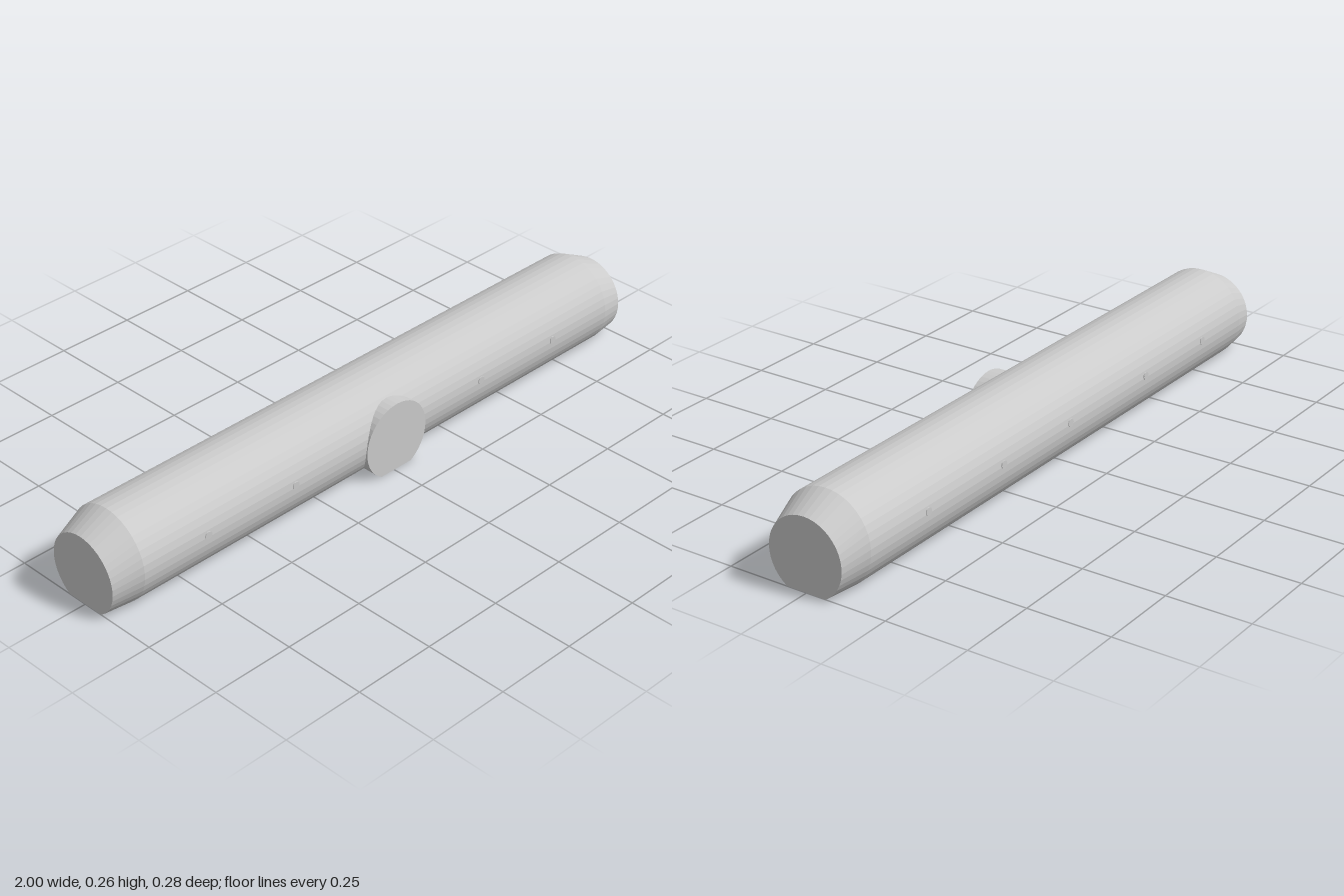
import * as THREE from 'three';

const material = new THREE.MeshStandardMaterial({ color: 0xcccccc, flatShading: true });
const SEGMENTS = 34;

// Circle with its bottom cut off flat at y = 0, as [across, up] points running anticlockwise
function cutCircle(radius, centreY) {
  const start = -Math.asin(centreY / radius);
  const sweep = Math.PI - 2 * start;
  return Array.from({ length: SEGMENTS + 1 }, (_, i) => {
    const a = start + (sweep * i) / SEGMENTS;
    return [radius * Math.cos(a), Math.max(0, centreY + radius * Math.sin(a))];
  });
}

// Skin over cut-circle sections placed along x, closed at both ends
function loft(sections) {
  const rings = sections.map(([x, r, cy]) => cutCircle(r, cy).map(([z, y]) => [x, y, z]));
  const n = SEGMENTS + 1;
  const positions = [];
  const tri = (a, b, c) => positions.push(...a, ...b, ...c);
  for (let s = 0; s < rings.length - 1; s++) {
    const [p, q] = [rings[s], rings[s + 1]];
    for (let i = 0; i < n; i++) {
      const j = (i + 1) % n;
      tri(p[i], q[i], q[j]);
      tri(p[i], q[j], p[j]);
    }
  }
  const [first, last] = [rings[0], rings[rings.length - 1]];
  for (let i = 1; i < n - 1; i++) {
    tri(first[0], first[i], first[i + 1]);
    tri(last[0], last[i + 1], last[i]);
  }
  const geometry = new THREE.BufferGeometry();
  geometry.setAttribute('position', new THREE.Float32BufferAttribute(positions, 3));
  geometry.computeVertexNormals();
  return geometry;
}

export function createModel() {
  const group = new THREE.Group();
  const add = (name, geometry, x = 0, y = 0, z = 0) => {
    const mesh = new THREE.Mesh(geometry, material);
    mesh.name = name;
    mesh.position.set(x, y, z);
    group.add(mesh);
  };

  // Long bar with a flat underside and tapered ends
  add('body', loft([
    [-1, 0.117, 0.099],
    [-0.91, 0.14, 0.119],
    [0.91, 0.14, 0.119],
    [1, 0.117, 0.099],
  ]));

  // Round boss on the front, cut by the same flat base
  const outline = new THREE.Shape(cutCircle(0.116, 0.1).map(([x, y]) => new THREE.Vector2(x, y)));
  add('frontBoss', new THREE.ExtrudeGeometry(outline, { depth: 0.143, bevelEnabled: false }), 0.009, 0, 0);

  // Tiny pins barely breaking the surface, front and back
  const pin = new THREE.CylinderGeometry(0.012, 0.012, 0.02, 16).rotateX(Math.PI / 2);
  for (const x of [-0.69, -0.375, 0.36, 0.67]) add('frontPin', pin, x, 0.131, 0.131);
  for (const x of [-0.69, -0.375, 0.015, 0.335, 0.67]) add('backPin', pin, x, 0.131, -0.1315);

  return group;
}
